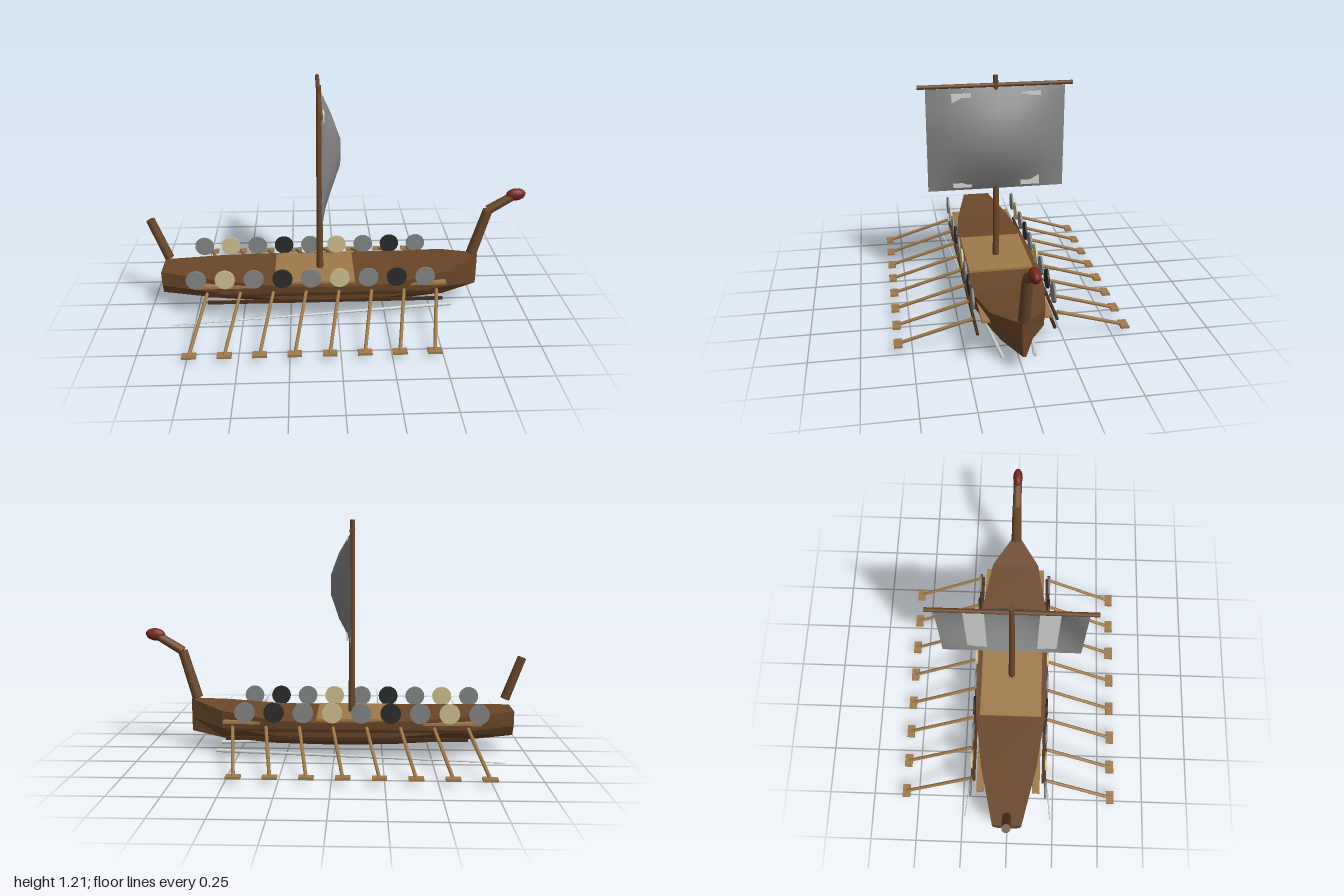
import * as THREE from 'three';

const mat = (name, color, extra = {}) => {
  const m = new THREE.MeshStandardMaterial({ color, ...extra });
  m.name = name;
  return m;
};

export function createModel() {
  const ship = new THREE.Group();
  ship.name = 'longship';
  const brown = mat('hullBrown', 0x6b4729);
  const brownFlat = mat('hullBrownFaceted', 0x6b4729, { flatShading: true });
  const dark = mat('strakeBrown', 0x4a2f1a);
  const tan = mat('paleWood', 0xa07a4a);
  const grey = mat('shieldGrey', 0x838585);
  const cream = mat('shieldCream', 0xcdbf8e);
  const black = mat('shieldBlack', 0x2a2c2b);
  const cloth = mat('sailGrey', 0x858585, { side: THREE.DoubleSide });
  const pale = mat('paleStripe', 0xd0d4d0);
  const red = mat('headRed', 0x742820);

  const add = (name, geo, material, x = 0, y = 0, z = 0) => {
    const m = new THREE.Mesh(geo, material);
    m.name = name;
    m.position.set(x, y, z);
    ship.add(m);
    return m;
  };
  const box = (name, material, w, h, d, x, y, z) =>
    add(name, new THREE.BoxGeometry(w, h, d), material, x, y, z);
  // Round bar from a to b, with a radius at each end
  const rod = (name, material, a, b, ra, rb = ra, sides = 12) => {
    const p = new THREE.Vector3(...a), q = new THREE.Vector3(...b);
    const dir = q.clone().sub(p);
    const m = add(name, new THREE.CylinderGeometry(rb, ra, dir.length(), sides), material);
    m.position.copy(p).add(q).multiplyScalar(0.5);
    m.quaternion.setFromUnitVectors(new THREE.Vector3(0, 1, 0), dir.normalize());
    return m;
  };

  // Hull: stations of [x, half width, deck height, keel height]
  const stations = [
    [-0.93, 0.078, 0.235, 0.10], [-0.62, 0.15, 0.218, 0.078], [-0.3, 0.195, 0.203, 0.064],
    [0, 0.205, 0.198, 0.06], [0.3, 0.19, 0.205, 0.064], [0.58, 0.133, 0.24, 0.08],
    [0.76, 0.012, 0.275, 0.10],
  ];
  const pos = [], idx = [];
  for (const [x, w, top, low] of stations) {
    const mid = low + (top - low) * 0.42;
    pos.push(x, top, w, x, mid, w * 0.95, x, low, w * 0.56);
    pos.push(x, low, -w * 0.56, x, mid, -w * 0.95, x, top, -w);
  }
  const last = (stations.length - 1) * 6;
  for (let i = 0; i < last; i += 6) {
    for (let j = 0; j < 6; j++) {
      const a = i + j, b = i + (j + 1) % 6;
      idx.push(a, b, b + 6, a, b + 6, a + 6);
    }
  }
  for (let j = 1; j < 5; j++) {
    idx.push(0, j + 1, j, last, last + j, last + j + 1);
  }
  const indexed = new THREE.BufferGeometry();
  indexed.setAttribute('position', new THREE.Float32BufferAttribute(pos, 3));
  indexed.setIndex(idx);
  const hull = indexed.toNonIndexed();
  hull.computeVertexNormals();
  add('hull', hull, brownFlat);
  box('deck', tan, 0.42, 0.012, 0.34, -0.12, 0.206, 0);

  // Prow neck, head and stern post
  rod('prowLower', brown, [0.73, 0.28, 0], [0.803, 0.53, 0], 0.029, 0.026);
  rod('prowUpper', brown, [0.803, 0.53, 0], [0.925, 0.605, 0], 0.025, 0.023);
  const head = add('prowHead', new THREE.SphereGeometry(1, 16, 12), red, 0.945, 0.617, 0);
  head.scale.set(0.052, 0.033, 0.027);
  head.rotation.z = 0.1;
  rod('sternPost', brown, [-0.893, 0.285, 0], [-0.975, 0.505, 0], 0.025, 0.023);

  // Mast, yard and sail
  rod('mast', brown, [-0.09, 0.19, 0], [-0.09, 1.215, 0], 0.018, 0.013);
  rod('yard', brown, [-0.09, 1.165, -0.4], [-0.09, 1.165, 0.4], 0.011);
  const sail = new THREE.PlaneGeometry(0.72, 0.55, 8, 5).rotateY(Math.PI / 2);
  const sp = sail.attributes.position;
  for (let i = 0; i < sp.count; i++) {
    const across = Math.cos(Math.PI * sp.getZ(i) / 0.72);
    const up = Math.cos(Math.PI * sp.getY(i) / 0.55);
    sp.setX(i, 0.11 * across * up);
  }
  sail.computeVertexNormals();
  add('sail', sail, cloth, -0.085, 0.88, 0);

  for (const s of [-1, 1]) {
    box('sailStripe', pale, 0.008, 0.505, 0.1, -0.07, 0.877, s * 0.18);

    // Rails and strakes along the side
    box('rail', tan, 1.32, 0.014, 0.04, -0.09, 0.187, s * 0.151);
    box('strake', dark, 1.23, 0.016, 0.012, -0.065, 0.112, s * 0.19);
    box('strake', dark, 1.23, 0.014, 0.012, -0.065, 0.158, s * 0.2);

    // Shields
    const faces = [grey, cream, grey, black];
    for (let i = 0; i < 9; i++) {
      const disc = new THREE.CylinderGeometry(0.052, 0.052, 0.01, 20).rotateX(Math.PI / 2);
      add('shield', disc, faces[i % 4], -0.732 + i * 0.148, 0.249, s * 0.2);
    }

    // Oars
    for (let i = 0; i < 8; i++) {
      const x = -0.735 + i * 0.17;
      rod('oarShaft', tan, [x + 0.058, 0.176, s * 0.208], [x, 0.037, s * 0.57], 0.009, 0.009, 8);
      box('oarBlade', tan, 0.07, 0.012, 0.042, x, 0.037, s * 0.568);
    }

    // Long wake line under the side
    rod('wakeLine', pale, [0.62, 0.012, s * 0.078], [-0.865, 0.009, s * 0.237], 0.01, 0.003, 8);
  }
  return ship;
}
